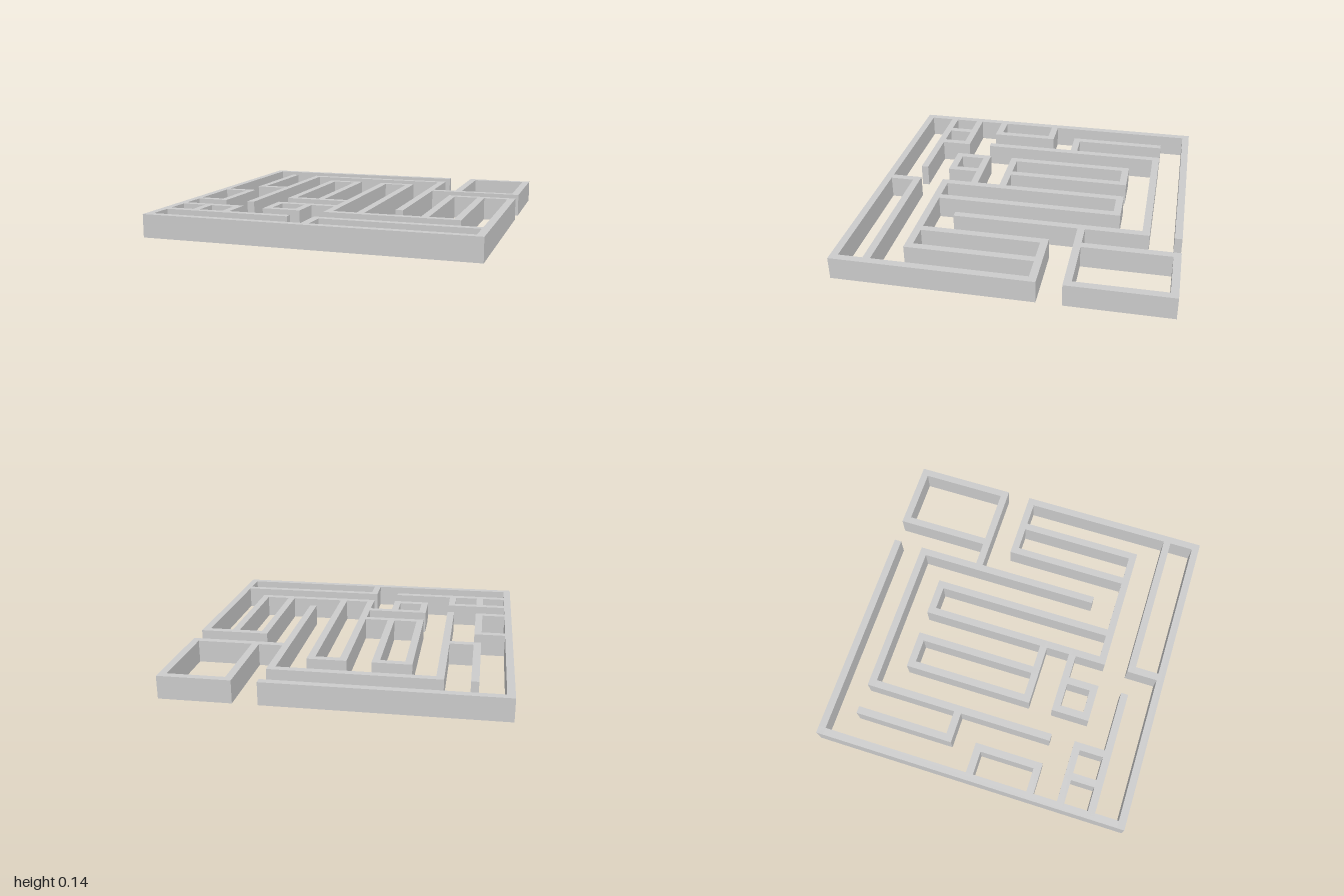
import * as THREE from 'three';

const HEIGHT = 0.14, WALL = 0.046, PITCH = (2 - WALL) / 10;
const at = (i) => (i - 5) * PITCH; // grid line 0..10 to position

// Walls running along x: [z line, first x line, last x line]
const ROWS = [
  [0, 0, 7], [0, 8, 10], [1, 2, 7], [2, 3, 4], [2, 5, 6], [3, 7, 10],
  [4, 1, 2], [4, 8, 10], [5, 0, 1], [6, 3, 5], [7, 0, 1], [7, 3, 5],
  [8, 0, 2], [8, 3, 4], [8, 5, 9], [9, 0, 4], [9, 5, 10], [10, 0, 10],
];

// Walls running along z: [x line, first z line, last z line]
const COLUMNS = [
  [0, 0, 10], [1, 1, 4], [1, 5, 7], [1, 8, 9], [2, 1, 7], [2, 8, 9],
  [3, 2, 6], [3, 7, 8], [4, 2, 6], [4, 7, 8], [5, 2, 8], [5, 9, 10],
  [6, 2, 8], [7, 1, 7], [8, 0, 3], [8, 4, 8], [9, 4, 8],
  [10, 0, 3], [10, 4, 10],
];

export function createModel() {
  const maze = new THREE.Group();
  maze.name = 'maze';
  const material = new THREE.MeshStandardMaterial({ color: 0xcccccc, flatShading: true });

  // One straight wall, reaching half a thickness past each end to fill corners
  const addWall = (line, from, to, alongX) => {
    const length = (to - from) * PITCH + WALL;
    const middle = at((from + to) / 2);
    const geometry = new THREE.BoxGeometry(alongX ? length : WALL, HEIGHT, alongX ? WALL : length);
    const wall = new THREE.Mesh(geometry, material);
    wall.position.set(alongX ? middle : at(line), HEIGHT / 2, alongX ? at(line) : middle);
    wall.name = (line === 0 || line === 10 ? 'outer' : 'inner') + (alongX ? 'CrossWall' : 'LengthWall');
    maze.add(wall);
  };

  ROWS.forEach(([z, a, b]) => addWall(z, a, b, true));
  COLUMNS.forEach(([x, a, b]) => addWall(x, a, b, false));
  return maze;
}
